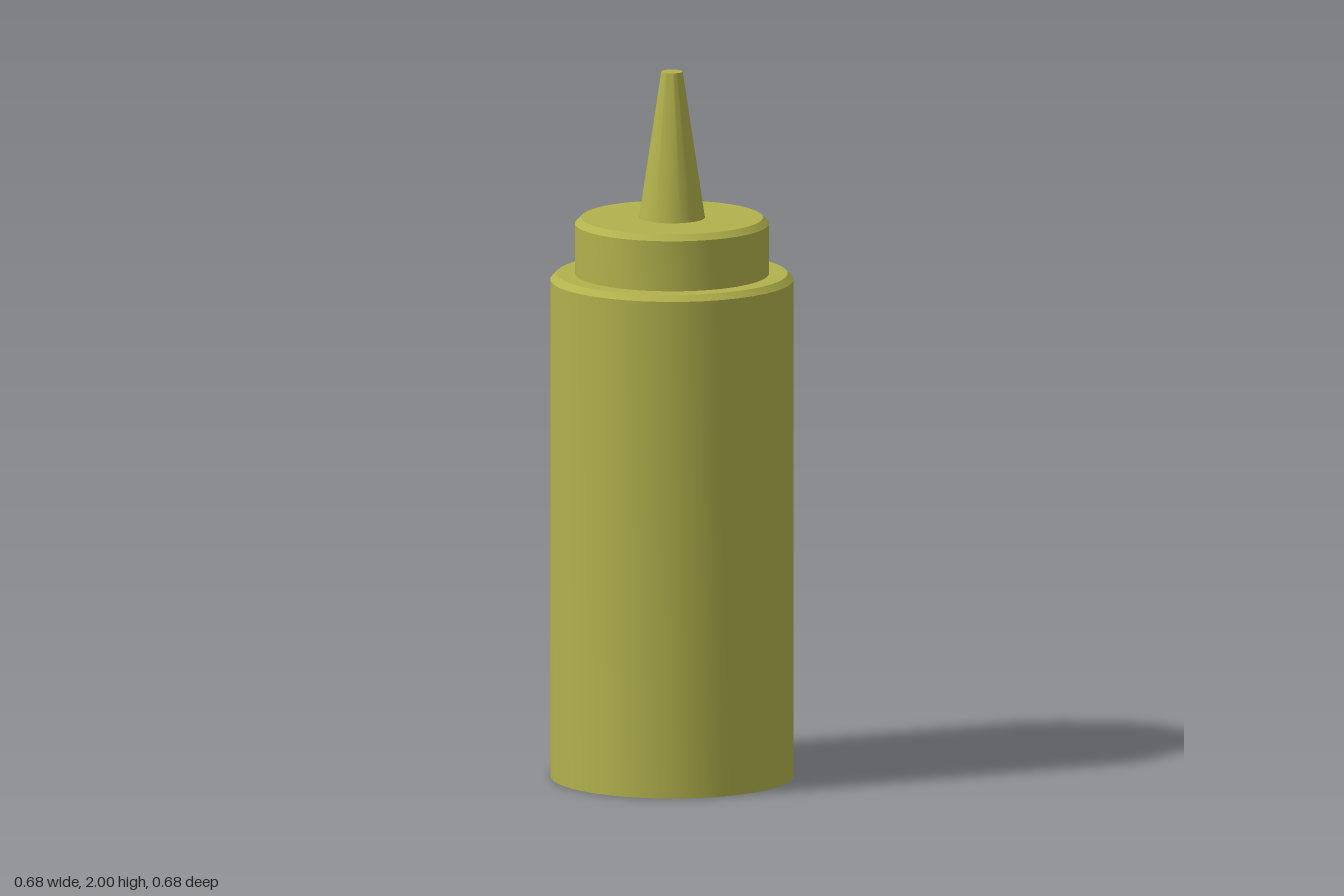
import * as THREE from 'three';
import { toCreasedNormals } from 'three/addons/utils/BufferGeometryUtils.js';

const SIDES = 40;

// Turned part from [radius, height] pairs, bottom to top, with crisp rims
function turned(name, profile, material) {
  const points = profile.map(([r, y]) => new THREE.Vector2(r, y));
  const geometry = toCreasedNormals(new THREE.LatheGeometry(points, SIDES), 0.5);
  const mesh = new THREE.Mesh(geometry, material);
  mesh.name = name;
  return mesh;
}

export function createModel() {
  const model = new THREE.Group();
  model.name = 'squeezeBottle';
  const plastic = new THREE.MeshStandardMaterial({ color: 0xb2b24d });

  // Straight body with a chamfered shoulder
  model.add(turned('body', [[0, 0], [0.34, 0], [0.34, 1.41], [0.323, 1.427], [0, 1.427]], plastic));

  // Screw cap with a chamfered top
  model.add(turned('cap', [[0, 1.427], [0.271, 1.427], [0.271, 1.569], [0.254, 1.586], [0, 1.586]], plastic));

  // Tapered nozzle with a flat tip
  model.add(turned('nozzle', [[0, 1.586], [0.092, 1.586], [0.03, 2], [0, 2]], plastic));

  return model;
}
